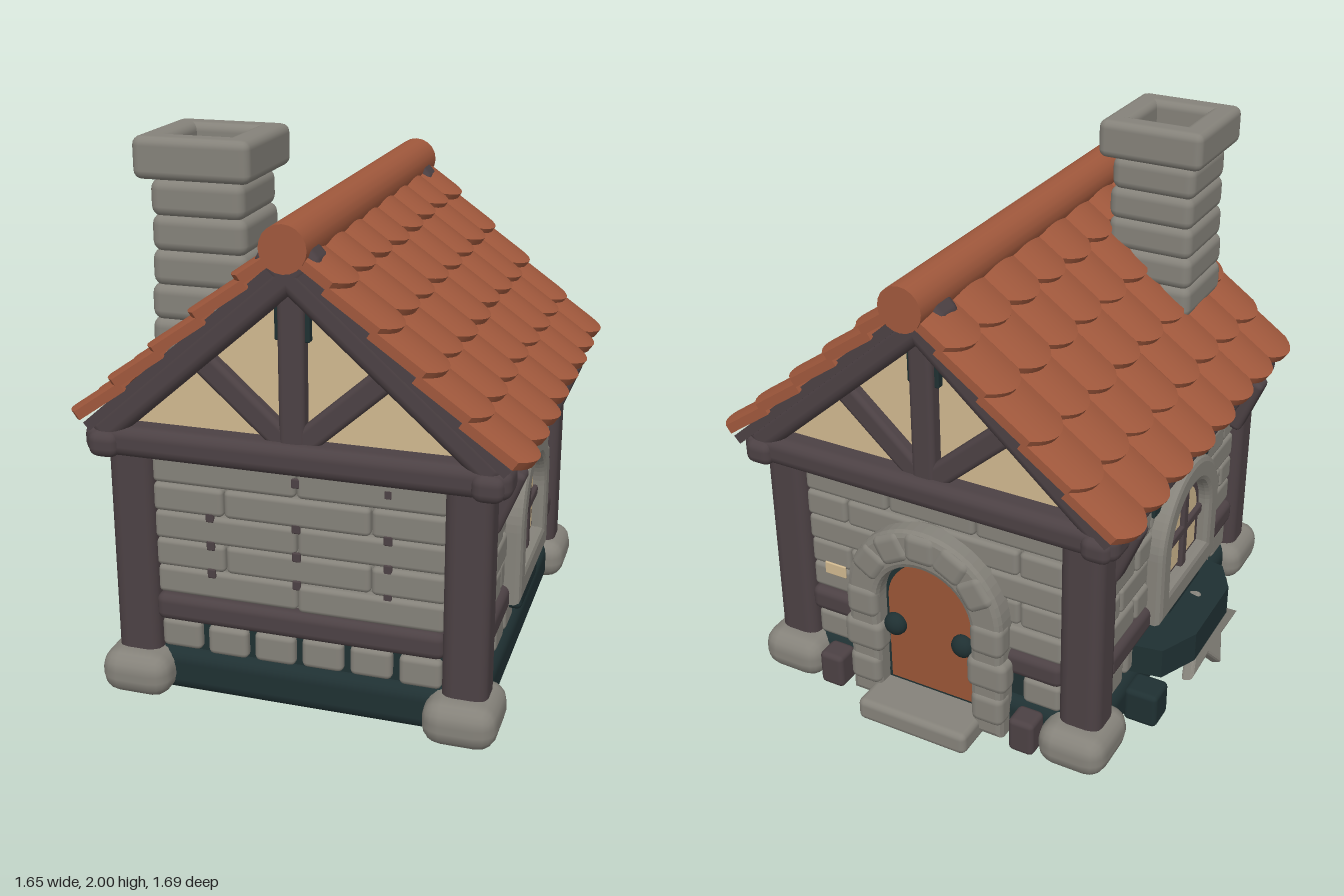
import * as THREE from 'three';
import { RoundedBoxGeometry } from 'three/addons/geometries/RoundedBoxGeometry.js';

const mat = (name, color) => Object.assign(new THREE.MeshStandardMaterial({ color }), { name });
const M = {
  stone: mat('stone', 0x85827a), wood: mat('darkTimber', 0x4c4144), roof: mat('clayTile', 0xa0583c),
  teal: mat('darkMortar', 0x1f3032), cream: mat('plaster', 0xd0b88f), door: mat('doorWood', 0x9a5536),
};

export function createModel() {
  let seed = 7;
  const rnd = (a, b) => { seed = (seed * 16807) % 2147483647; return a + (b - a) * seed / 2147483647; };

  const add = (parent, name, geo, m, x = 0, y = 0, z = 0) => {
    const mesh = new THREE.Mesh(geo, m);
    mesh.name = name;
    mesh.position.set(x, y, z);
    parent.add(mesh);
    return mesh;
  };
  // rounded block given by centre and size
  const block = (p, name, m, x, y, z, w, h, d, r = 0.02) =>
    add(p, name, new RoundedBoxGeometry(w, h, d, 2, Math.min(r, w / 2.1, h / 2.1, d / 2.1)), m, x, y, z);
  const group = (parent, name, ry = 0) => {
    const g = new THREE.Group();
    g.name = name;
    g.rotation.y = ry;
    parent.add(g);
    return g;
  };
  // round-headed outline standing on y0
  const arch = (w, y0, y1, C = THREE.Shape) => {
    const s = new C(), r = w / 2;
    s.moveTo(-r, y0);
    s.lineTo(r, y0);
    s.lineTo(r, y1 - r);
    s.absarc(0, y1 - r, r, 0, Math.PI, false);
    s.lineTo(-r, y0);
    return s;
  };
  const extrude = (shape, depth, bevel = 0) => new THREE.ExtrudeGeometry(shape, {
    depth, bevelEnabled: bevel > 0, bevelSize: bevel, bevelThickness: bevel, bevelSegments: 2, curveSegments: 14,
  });
  const surround = (outer, inner, depth, b = 0.022) => {
    const s = arch(outer[0] - 2 * b, outer[1] + b, outer[2] - b);
    s.holes.push(arch(inner[0] + 2 * b, inner[1] - b, inner[2] + b, THREE.Path));
    return extrude(s, depth - b, b);
  };

  const model = new THREE.Group();
  model.name = 'cottage';
  const house = group(model, 'house');
  house.position.set(0.025, 0, 0.045);

  // foundation and wall core
  block(house, 'foundation', M.teal, 0, 0.1, 0, 1.3, 0.165, 1.42, 0.05);
  add(house, 'wallCore', new THREE.BoxGeometry(1.22, 0.6, 1.34), M.stone, 0, 0.68, 0);
  add(house, 'lowerCore', new THREE.BoxGeometry(1.22, 0.24, 1.34), M.teal, 0, 0.26, 0);

  // corner posts, footing stones and eave braces
  for (const sx of [1, -1]) for (const sz of [1, -1]) {
    block(house, 'cornerPost', M.wood, sx * 0.59, 0.55, sz * 0.655, 0.16, 0.85, 0.155, 0.045);
    block(house, 'footingStone', M.stone, sx * 0.585, 0.1, sz * 0.668, 0.26, 0.165, 0.28, 0.07);
    const b = block(house, 'eaveBrace', M.wood, sx * 0.68, 0.86, sz * 0.58, 0.07, 0.24, 0.085, 0.02);
    b.rotation.z = -sx * 0.38;
  }

  // masonry of one wall: long upper courses, a rail, and a lower row of blocks
  const wall = (name, ry, dist, len, brick, doorGap) => {
    const g = group(house, name, ry);
    const overDoor = x => doorGap && Math.abs(x) < doorGap;
    for (let r = 0; r < 5; r++) {
      const n = Math.round(len / brick), w = len / n, shift = r % 2 ? w / 2 : 0;
      for (let i = 0; i <= n; i++) {
        const a = Math.max(-len / 2, -len / 2 + i * w - shift);
        const e = Math.min(len / 2, -len / 2 + (i + 1) * w - shift);
        if (e - a < 0.03) continue;
        block(g, 'courseStone', M.stone, (a + e) / 2, 0.45 + r * 0.105, dist - 0.04 + rnd(-0.006, 0.006),
          e - a - 0.004, 0.103, 0.08, 0.018);
      }
    }
    const n = Math.round(len / 0.165), w = len / n;
    for (let i = 0; i < n; i++) {
      const x = -len / 2 + (i + 0.5) * w;
      if (!overDoor(x)) block(g, 'lowerStone', M.stone, x, 0.24 + rnd(-0.006, 0.006), dist - 0.04, w - 0.025, 0.11, 0.08);
    }
    if (doorGap) {
      const l = len / 2 - doorGap + 0.04;
      for (const s of [1, -1]) block(g, 'rail', M.wood, s * (len / 2 - l / 2), 0.35, dist - 0.03, l, 0.1, 0.1, 0.03);
    } else block(g, 'rail', M.wood, 0, 0.35, dist - 0.03, len, 0.1, 0.1, 0.03);
    return g;
  };

  // front wall, with dark joints between the long courses
  const front = wall('frontWall', 0, 0.7, 1.04, 0.52);
  for (const x of [-0.31, 0, 0.32]) for (const y of [0.5, 0.605, 0.71, 0.875])
    block(front, 'joint', M.wood, x, y, 0.696, 0.03, 0.035, 0.012, 0.005);

  // side walls with round-headed windows
  for (const s of [1, -1]) {
    const g = wall(s > 0 ? 'leftWall' : 'rightWall', s * Math.PI / 2, 0.635, 1.18, 0.24);
    const win = group(g, 'window');
    win.position.set(-s * 0.02, 0, 0.635);
    add(win, 'windowSurround', surround([0.55, 0.325, 0.88], [0.36, 0.43, 0.78], 0.06), M.stone);
    add(win, 'windowFrame', extrude(arch(0.38, 0.42, 0.79), 0.012), M.wood);
    add(win, 'panes', extrude(arch(0.28, 0.45, 0.755), 0.008), M.cream, 0, 0, 0.01);
    block(win, 'mullion', M.wood, 0, 0.6, 0.02, 0.045, 0.35, 0.03, 0.01);
    block(win, 'glazingBar', M.wood, 0, 0.592, 0.02, 0.33, 0.04, 0.03, 0.01);
    for (const e of [1, -1])
      block(win, 'mortarPatch', M.teal, e * 0.2, 0.83, 0.004, 0.12, 0.11, 0.015, 0.005);
    block(win, 'underSill', M.teal, 0, 0.29, 0.01, 0.32, 0.09, 0.07, 0.02);
    block(g, 'wallPlate', M.wood, 0, 0.965, 0.66, 1.58, 0.095, 0.11, 0.035);
  }

  // back wall with the arched door, step and odd blocks
  const back = wall('backWall', Math.PI, 0.7, 1.04, 0.3, 0.28);
  const entry = group(back, 'entrance');
  entry.position.set(0, 0, 0.695);
  add(entry, 'doorSurround', surround([0.63, 0.04, 0.82], [0.38, 0.1, 0.67], 0.08), M.stone);
  add(entry, 'doorFrame', extrude(arch(0.42, 0.06, 0.69), 0.012), M.teal);
  add(entry, 'door', extrude(arch(0.34, 0.12, 0.65), 0.02), M.door, 0, 0, 0.008);
  for (const s of [1, -1]) {
    const k = add(entry, 'doorFitting', new THREE.SphereGeometry(0.045, 14, 10), M.teal, s * 0.14, 0.37, 0.035);
    k.scale.z = 0.8;
    for (let i = 0; i < 3; i++)
      block(entry, 'jambStone', M.stone, s * 0.255, 0.16 + i * 0.15, 0.045, 0.13 + (i % 2) * 0.03, 0.13, 0.09, 0.03);
    block(entry, 'woodBlock', M.wood, s * 0.4, 0.1, 0.05, 0.1, 0.14, 0.1, 0.02);
  }
  for (let i = -2; i <= 2; i++) {
    const a = i * 0.5;
    const v = block(entry, 'archStone', M.stone, Math.sin(a) * 0.25, 0.505 + Math.cos(a) * 0.25, 0.045, 0.13, 0.12, 0.09, 0.03);
    v.rotation.z = -a;
  }
  block(entry, 'doorStep', M.stone, 0, 0.055, 0.09, 0.45, 0.09, 0.2, 0.025);
  block(entry, 'lightPatch', M.cream, -0.41, 0.5, 0.008, 0.09, 0.05, 0.009, 0.004);

  // half-timbered gables
  const tri = (half, y0, y1) => new THREE.Shape([
    new THREE.Vector2(-half, y0), new THREE.Vector2(half, y0), new THREE.Vector2(0, y1)]);
  add(house, 'attic', extrude(tri(0.7, 0.96, 1.59), 1.36), M.wood, 0, 0, -0.68);
  for (const ry of [0, Math.PI]) {
    const g = group(house, ry ? 'backGable' : 'frontGable', ry);
    add(g, 'plaster', extrude(tri(0.63, 1.0, 1.57), 0.008), M.cream, 0, 0, 0.676);
    block(g, 'tieBeam', M.wood, 0, 0.975, 0.7, 1.47, 0.11, 0.14, 0.04);
    block(g, 'kingPost', M.wood, 0, 1.28, 0.7, 0.09, 0.56, 0.07);
    block(g, 'kingPostShade', M.teal, 0, 1.45, 0.69, 0.12, 0.16, 0.04, 0.005);
    for (const s of [1, -1]) {
      const b = block(g, 'strut', M.wood, s * 0.16, 1.14, 0.7, 0.085, 0.42, 0.06);
      b.rotation.z = -s * 0.84;
    }
  }

  // one clay tile: rounded lower end (+x) and a slight barrel
  const tileGeo = new THREE.BoxGeometry(0.26, 0.034, 0.206, 4, 1, 8);
  const p = tileGeo.attributes.position;
  for (let i = 0; i < p.count; i++) {
    const x = p.getX(i), u = p.getZ(i) / 0.103;
    p.setX(i, x - 0.05 * u * u * Math.max(0, x / 0.13));
    p.setY(i, p.getY(i) + 0.016 * (1 - u * u));
  }
  tileGeo.computeVertexNormals();

  // two roof slopes; x runs down the slope
  for (const ry of [0, Math.PI]) {
    const slope = group(group(house, 'roofSide', ry), 'slope');
    slope.position.y = 1.7;
    slope.rotation.z = -Math.atan(0.88);
    const zc = ry ? 0.022 : -0.022;
    add(slope, 'roofBoards', new THREE.BoxGeometry(1.0, 0.035, 1.57), M.wood, 0.49, -0.035, zc);
    for (const z of [0.7, -0.7])
      block(slope, 'rafter', M.wood, 0.47, -0.078, z, 1.04, 0.105, 0.13, 0.035);
    for (let r = 0; r < 5; r++) for (let c = 0; c < 8; c++) {
      const t = add(slope, 'tile', tileGeo, M.roof, 1.03 - r * 0.197 - 0.13 + rnd(-0.006, 0.006),
        0.002 + rnd(-0.003, 0.003), zc + (c - 3.5) * 0.2);
      t.rotation.z = 0.11;
    }
  }
  const ridge = add(house, 'ridge', new THREE.CylinderGeometry(0.08, 0.08, 1.62, 20), M.roof, 0, 1.69, -0.022);
  ridge.rotation.x = Math.PI / 2;

  // chimney: stacked stone courses and a hollow cap
  const chimney = group(model, 'chimney');
  chimney.position.set(-0.31, 0, 0.55);
  add(chimney, 'chimneyCore', new THREE.BoxGeometry(0.28, 0.75, 0.28), M.stone, 0, 1.51, 0);
  for (let i = 0; i < 6; i++) {
    const w = 0.35 - i * 0.007 + rnd(-0.01, 0.01);
    block(chimney, 'chimneyCourse', M.stone, rnd(-0.005, 0.005), 1.22 + i * 0.115, 0, w, 0.125, w, 0.035);
  }
  for (const s of [1, -1]) {
    block(chimney, 'capSide', M.stone, s * 0.15, 1.93, 0, 0.1, 0.14, 0.41, 0.03);
    block(chimney, 'capEnd', M.stone, 0, 1.93, s * 0.155, 0.4, 0.14, 0.1, 0.03);
  }
  add(chimney, 'flueFloor', new THREE.BoxGeometry(0.24, 0.008, 0.24), M.cream, 0, 1.892, 0);

  // planter ledge under the right window
  const ledge = new THREE.Shape([[-0.6, -0.32], [-0.6, 0.32], [-0.72, 0.3], [-0.79, 0.18], [-0.79, -0.15], [-0.72, -0.3]]
    .map(([x, z]) => new THREE.Vector2(x, -z)));
  const planter = add(model, 'planter', extrude(ledge, 0.12), M.teal, 0, 0.18, 0);
  planter.rotation.x = -Math.PI / 2;
  block(model, 'groundBlock', M.teal, -0.68, 0.09, -0.34, 0.13, 0.14, 0.12, 0.02);

  // splayed star-shaped stone foot below the planter
  const star = new THREE.Shape();
  for (let i = 0; i < 12; i++) {
    const a = (i + 0.5) / 12 * Math.PI * 2 + Math.PI / 12, r = i % 2 ? 0.13 : 0.26;
    star[i ? 'lineTo' : 'moveTo'](Math.cos(a) * r, Math.sin(a) * r * 0.55);
  }
  const footPivot = group(model, 'starFoot', -Math.PI / 2);
  footPivot.position.set(-0.73, 0.155, 0.08);
  const foot = add(footPivot, 'starStone', extrude(star, 0.025, 0.012), M.stone);
  foot.rotation.x = -0.35;

  return model;
}
